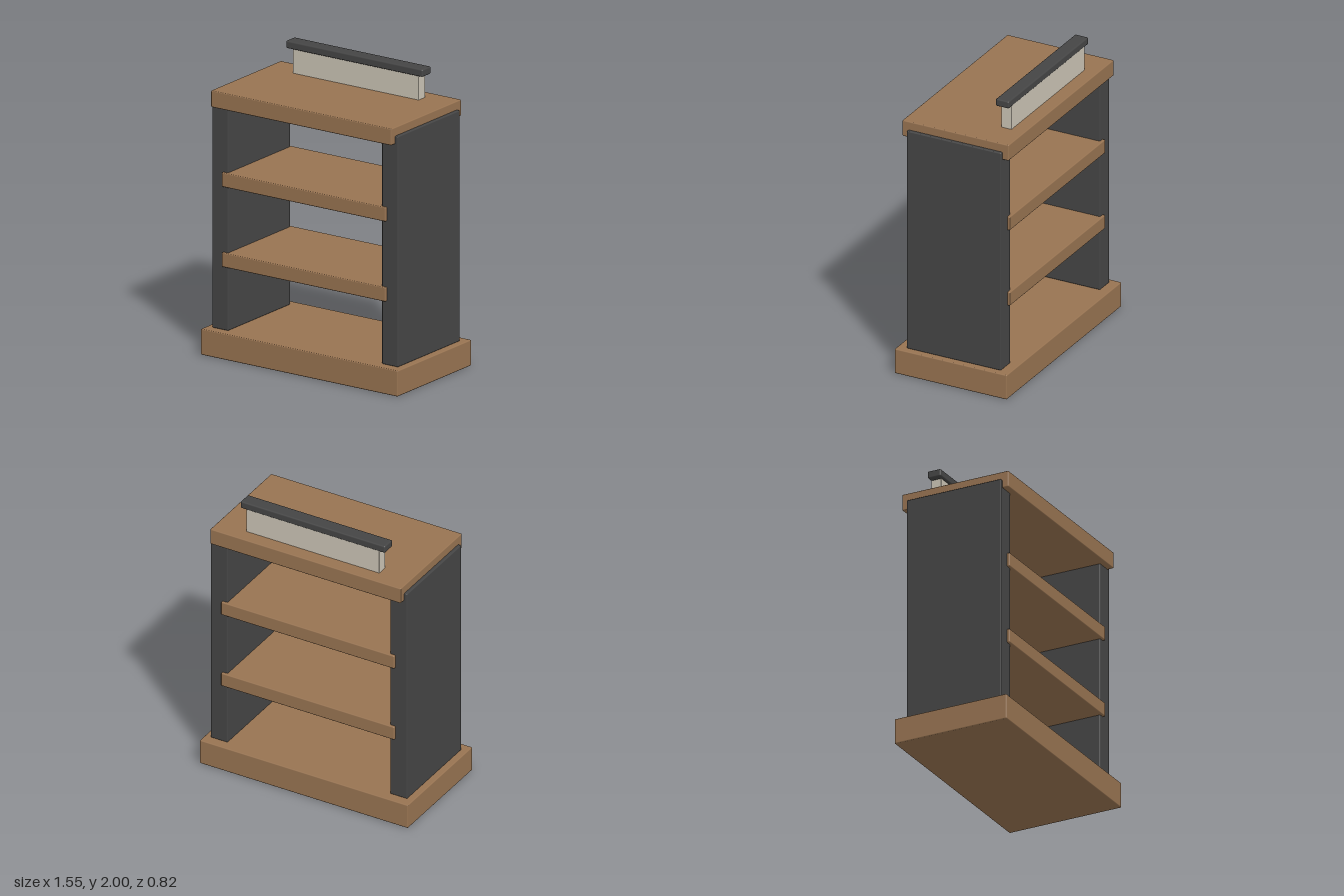
import * as THREE from 'three';
import { RoundedBoxGeometry } from 'three/addons/geometries/RoundedBoxGeometry.js';

const material = (name, color) => {
  const m = new THREE.MeshStandardMaterial({ color });
  m.name = name;
  return m;
};

export function createModel() {
  const wood = material('wood', 0x977351);
  const charcoal = material('charcoal', 0x454545);
  const cream = material('cream', 0xcac3b4);
  const group = new THREE.Group();
  group.name = 'shelfUnit';

  // Softly bevelled board spanning the given ranges on each axis
  const board = (name, mat, [x0, x1], [y0, y1], [z0, z1], bevel = 0.007) => {
    const geometry = new RoundedBoxGeometry(x1 - x0, y1 - y0, z1 - z0, 2, bevel);
    const mesh = new THREE.Mesh(geometry, mat);
    mesh.name = name;
    mesh.position.set((x0 + x1) / 2, (y0 + y1) / 2, (z0 + z1) / 2);
    group.add(mesh);
  };

  // Plinth and counter top
  board('base', wood, [-0.775, 0.775], [0, 0.174], [-0.409, 0.409]);
  board('counterTop', wood, [-0.71, 0.71], [1.673, 1.785], [-0.388, 0.388]);

  // Side walls, let into the counter top
  board('leftWall', charcoal, [0.605, 0.732], [0.174, 1.727], [-0.344, 0.344]);
  board('rightWall', charcoal, [-0.732, -0.605], [0.174, 1.727], [-0.344, 0.344]);

  // Shelves, projecting slightly front and back
  [['lowerShelf', 0.603], ['upperShelf', 1.142]].forEach(([name, y]) =>
    board(name, wood, [-0.645, 0.645], [y, y + 0.096], [-0.362, 0.362]));

  // Upright panel at the rear with its cap rail
  board('rearPanel', cream, [-0.495, 0.495], [1.78, 1.955], [-0.293, -0.218], 0.004);
  board('capRail', charcoal, [-0.538, 0.538], [1.95, 2], [-0.296, -0.2], 0.009);

  return group;
}
